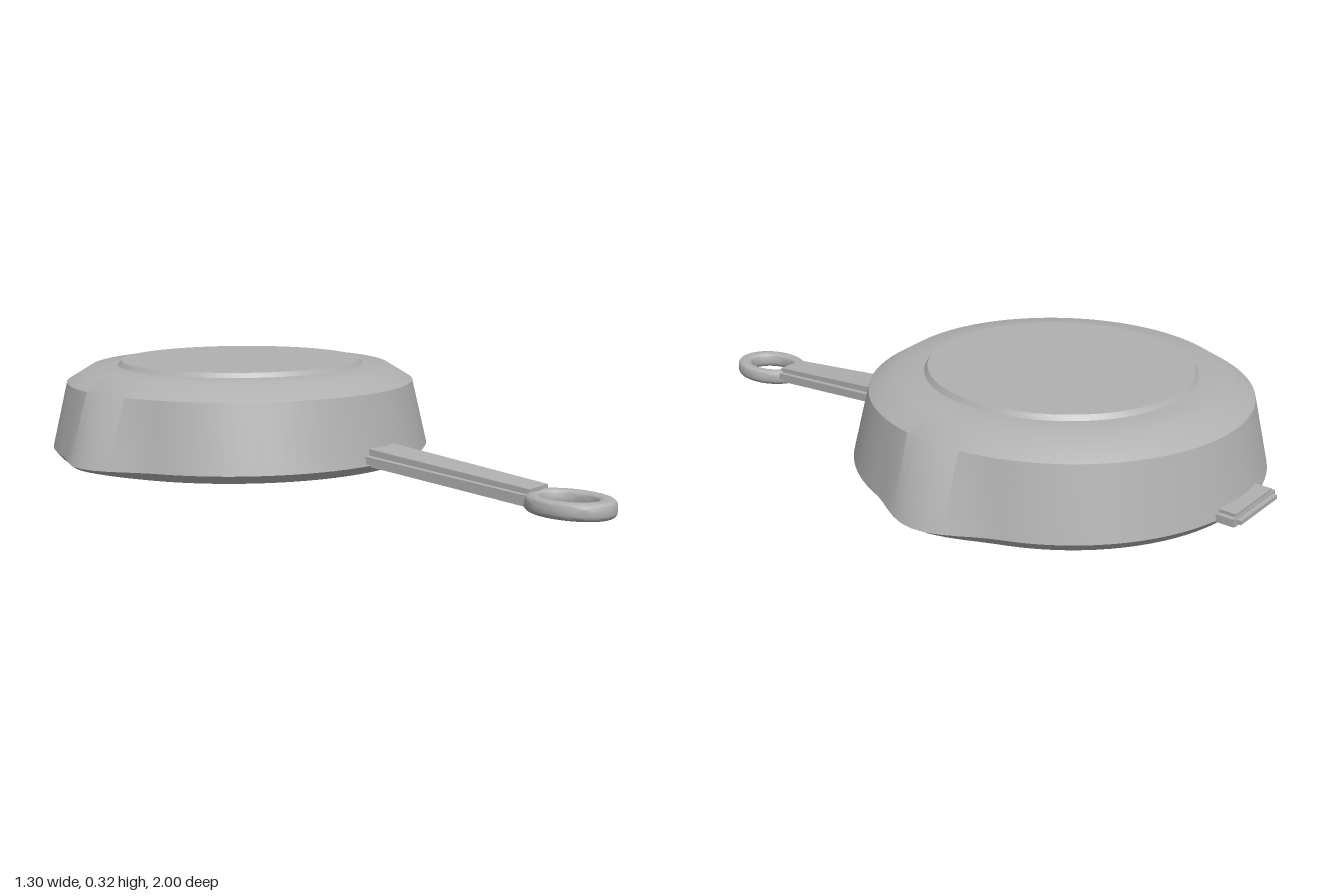
import * as THREE from 'three';
import { toCreasedNormals } from 'three/addons/utils/BufferGeometryUtils.js';

const PAN_Z = -0.351;

// Box along z whose width and height change from one end to the other.
// Each end: { z, w (half width), y0, y1 }
function taperedBar(a, b) {
  const g = new THREE.BoxGeometry(2, 1, 1);
  const p = g.attributes.position;
  for (let i = 0; i < p.count; i++) {
    const e = p.getZ(i) > 0 ? b : a;
    p.setXYZ(i, p.getX(i) * e.w, p.getY(i) > 0 ? e.y1 : e.y0, e.z);
  }
  const flat = g.toNonIndexed();
  flat.computeVertexNormals();
  return flat;
}

// Upturned pan: a lathed shell whose rim swells into two pouring spouts
function panGeometry() {
  const profile = [
    [0, 0.252], [0.36, 0.252], [0.42, 0.244], [0.463, 0.222], [0.492, 0.185], [0.543, 0.03], // inside
    [0.575, 0.03], [0.597, 0.055],                                                          // rim
    [0.55, 0.257], [0.475, 0.303], [0.39, 0.306], [0.38, 0.32], [0, 0.32],                  // outside
  ].map(([r, y]) => new THREE.Vector2(r, y));
  const g = new THREE.LatheGeometry(profile, 96);
  g.deleteAttribute('uv');
  const p = g.attributes.position;
  for (let i = 0; i < p.count; i++) {
    const x = p.getX(i), y = p.getY(i), z = p.getZ(i);
    const r = Math.hypot(x, z);
    if (r < 0.48) continue;
    const angle = Math.atan2(Math.abs(z), Math.abs(x));
    const bump = angle < 0.38 ? Math.cos((angle / 0.38) * Math.PI / 2) ** 2.3 : 0;
    const fade = THREE.MathUtils.clamp((0.257 - y) / 0.202, 0, 1);
    const k = (r + 0.053 * bump * fade) / r;
    p.setXYZ(i, x * k, y < 0.05 ? y + 0.012 * bump : y, z * k);
  }
  return toCreasedNormals(g, 0.66);
}

// Rounded oval hanging ring
function ringGeometry() {
  const bevel = 0.016;
  const shape = new THREE.Shape().absellipse(0, 0, 0.1 - bevel, 0.13 - bevel, 0, Math.PI * 2);
  shape.holes.push(new THREE.Path().absellipse(0, 0.005, 0.06 + bevel, 0.083 + bevel, 0, Math.PI * 2));
  const g = new THREE.ExtrudeGeometry(shape, {
    depth: 0.048 - 2 * bevel, bevelEnabled: true, bevelThickness: bevel,
    bevelSize: bevel, bevelSegments: 4, curveSegments: 24,
  });
  g.rotateX(-Math.PI / 2);
  g.translate(0, bevel, 0.87);
  return toCreasedNormals(g, 0.6);
}

export function createModel() {
  const root = new THREE.Group();
  const iron = new THREE.MeshStandardMaterial({ color: 0xb0b0b0 });
  iron.name = 'grey iron';

  const add = (name, geometry, x = 0, y = 0, z = 0) => {
    const mesh = new THREE.Mesh(geometry, iron);
    mesh.name = name;
    mesh.position.set(x, y, z);
    root.add(mesh);
  };

  add('pan', panGeometry(), 0, 0, PAN_Z);

  // Sloping handle: a deep central rib with a wider, thinner flange
  add('handleRib', taperedBar(
    { z: 0.175, w: 0.062, y0: 0.055, y1: 0.108 },
    { z: 0.772, w: 0.047, y0: 0.008, y1: 0.058 }));
  add('handleFlange', taperedBar(
    { z: 0.15, w: 0.082, y0: 0.068, y1: 0.09 },
    { z: 0.765, w: 0.063, y0: 0.024, y1: 0.044 }));
  add('hangingRing', ringGeometry());

  // Small studs under the rim where the handle joins
  for (const side of [-1, 1]) {
    add('handleStud', new THREE.SphereGeometry(0.02, 16, 10), side * 0.045, 0.043, 0.182);
  }

  // Stepped helper grip at the back
  add('backGrip', new THREE.BoxGeometry(0.2, 0.038, 0.06), 0, 0.063, -0.953);
  add('backGripFlange', new THREE.BoxGeometry(0.23, 0.022, 0.06), 0, 0.062, -0.956);
  add('backGripLip', new THREE.BoxGeometry(0.2, 0.012, 0.08), 0, 0.062, -0.96);

  return root;
}
